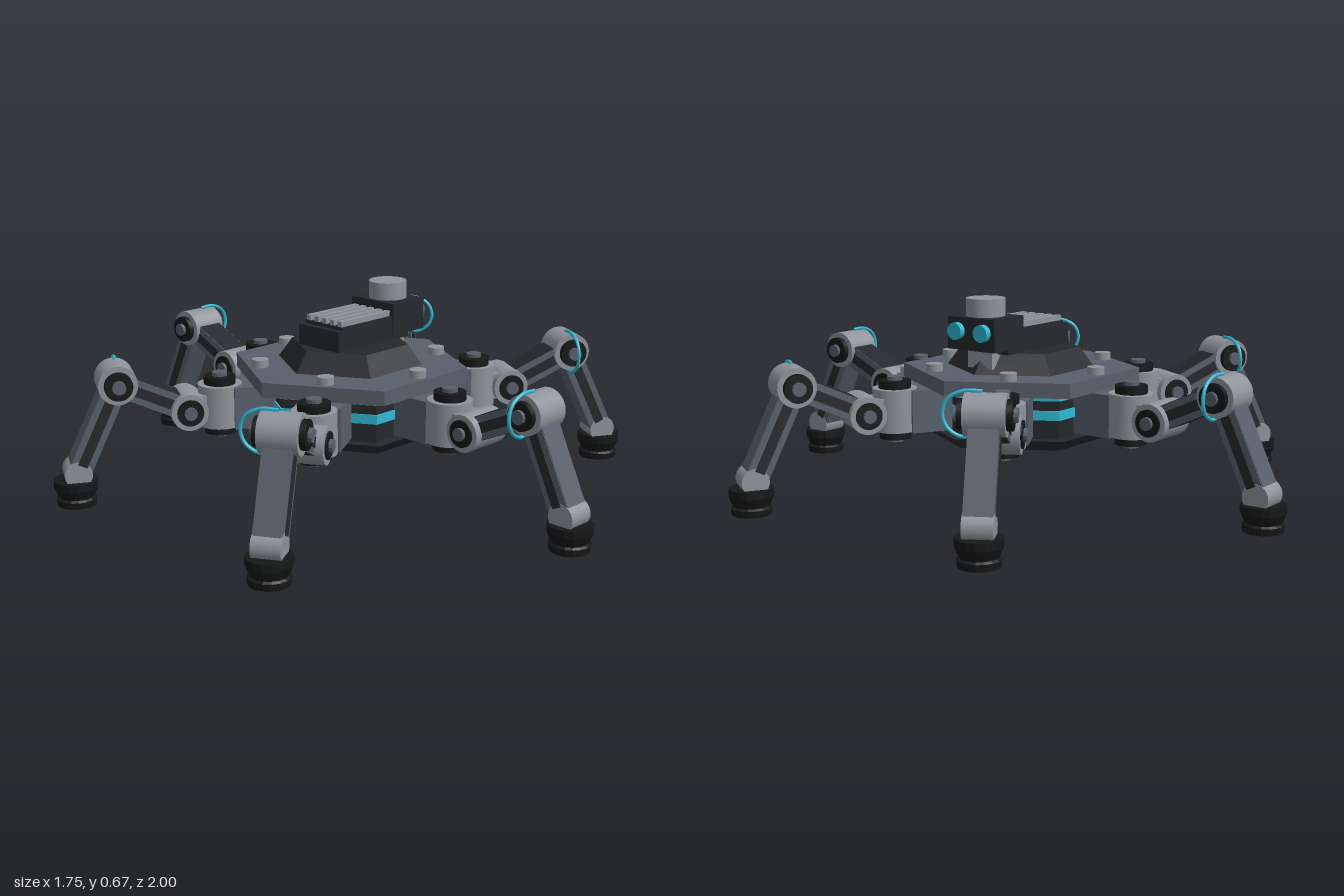
import * as THREE from 'three';

const mat = (color, flat = false) =>
  new THREE.MeshStandardMaterial({ color, flatShading: flat, side: THREE.FrontSide });
const SLATE = mat(0x59606b, true), GREY = mat(0x8f949b), DARK = mat(0x25282c, true);
const BLACK = mat(0x161718), CYAN = mat(0x2fb9d2);

function add(parent, name, geometry, material, x = 0, y = 0, z = 0) {
  const mesh = new THREE.Mesh(geometry, material);
  mesh.name = name;
  mesh.position.set(x, y, z);
  parent.add(mesh);
  return mesh;
}

const box = (w, h, d) => new THREE.BoxGeometry(w, h, d);
const cyl = (rTop, rBottom, h, n = 24) => new THREE.CylinderGeometry(rTop, rBottom, h, n);

// Hexagonal slab with corners on the x axis, between two heights
function hex(parent, name, rTop, rBottom, y0, y1, material) {
  const geometry = cyl(rTop, rBottom, y1 - y0, 6).rotateY(Math.PI / 6);
  return add(parent, name, geometry, material, 0, (y0 + y1) / 2, 0);
}

// Pivot drum with a dark cap and a bolt on both ends, along the y axis
function joint(name, radius, half, capHalf) {
  const g = new THREE.Group();
  g.name = name;
  add(g, 'drum', cyl(radius, radius, half * 2), GREY);
  add(g, 'caps', cyl(radius * 0.72, radius * 0.72, capHalf * 2 - 0.024), BLACK);
  add(g, 'bolts', cyl(radius * 0.35, radius * 0.35, capHalf * 2, 12), SLATE);
  return g;
}

// Limb segment between two points in the y-z plane; its length runs along local z
function limb(name, from, to, width, height, bodyMaterial) {
  const g = new THREE.Group();
  g.name = name;
  const a = new THREE.Vector3(0, ...from), b = new THREE.Vector3(0, ...to);
  const length = a.distanceTo(b);
  g.position.copy(a).add(b).multiplyScalar(0.5);
  g.rotation.x = -Math.atan2(b.y - a.y, b.z - a.z);
  add(g, 'beam', box(width, height, length), bodyMaterial);
  for (const s of [-1, 1]) {
    add(g, 'sidePlate', box(0.006, height * 0.96, length), SLATE, s * width / 2, 0, 0);
    add(g, 'sideInset', box(0.008, height * 0.42, length * 0.8), DARK, s * (width / 2 + 0.002), 0, 0);
  }
  return g;
}

// One leg reaching out along +z
function makeLeg() {
  const leg = new THREE.Group();
  leg.name = 'leg';
  const hip = [0.3, 0.557], knee = [0.405, 0.785], ankle = [0.11, 0.922];

  add(leg, 'mount', box(0.15, 0.14, 0.15), SLATE, 0, 0.302, 0.335);

  const coxa = joint('coxaJoint', 0.073, 0.07, 0.108);
  coxa.position.set(0, 0.304, 0.445);
  leg.add(coxa);
  add(leg, 'coxaLink', box(0.1, 0.09, 0.1), GREY, 0, 0.302, 0.505);

  for (const [name, p, r, half] of [['hipJoint', hip, 0.061, 0.075], ['kneeJoint', knee, 0.064, 0.062]]) {
    const j = joint(name, r, half, 0.093);
    j.rotation.z = Math.PI / 2;
    j.position.set(0, ...p);
    leg.add(j);
  }

  leg.add(limb('femur', hip, knee, 0.09, 0.078, DARK));
  leg.add(limb('tibia', knee, ankle, 0.084, 0.076, SLATE));

  // Ankle and rubber foot
  add(leg, 'ankle', cyl(0.045, 0.045, 0.092).rotateZ(Math.PI / 2), GREY, 0, ...ankle);
  const foot = [[0, 0], [0.064, 0], [0.066, 0.022], [0.058, 0.028], [0.072, 0.06], [0.072, 0.085], [0, 0.085]];
  const footGeometry = new THREE.LatheGeometry(foot.map(p => new THREE.Vector2(...p)), 16);
  add(leg, 'foot', footGeometry, mat(0x161718, true), 0, 0, 0.928);

  // Cable looping round one side of the knee
  const points = [[-0.01, 0.472], [-0.065, 0.472], [-0.112, 0.448], [-0.128, 0.405],
    [-0.112, 0.362], [-0.07, 0.338], [-0.03, 0.345]];
  const path = new THREE.CatmullRomCurve3(points.map(([x, y]) => new THREE.Vector3(x, y, 0.782)));
  add(leg, 'kneeCable', new THREE.TubeGeometry(path, 32, 0.006, 8), CYAN);
  return leg;
}

export function createModel() {
  const robot = new THREE.Group();
  robot.name = 'hexapodRobot';

  // Body shell
  const body = new THREE.Group();
  body.name = 'body';
  robot.add(body);
  hex(body, 'bellyPlate', 0.355, 0.32, 0.19, 0.225, DARK);
  hex(body, 'core', 0.315, 0.315, 0.22, 0.38, DARK);
  hex(body, 'lowerLightBand', 0.321, 0.321, 0.287, 0.318, CYAN).material = mat(0x2fb9d2, true);
  hex(body, 'upperLightBand', 0.321, 0.321, 0.35, 0.364, CYAN).material = mat(0x2fb9d2, true);
  hex(body, 'deck', 0.4, 0.4, 0.372, 0.42, SLATE);
  hex(body, 'cabin', 0.2, 0.248, 0.42, 0.486, DARK);

  // Engine hood with cooling fins
  add(body, 'hood', box(0.335, 0.07, 0.185), DARK, 0.022, 0.52, 0);
  add(body, 'ventBase', box(0.235, 0.012, 0.17), DARK, -0.005, 0.56, 0);
  for (let i = -2; i <= 2; i++) {
    add(body, 'ventFin', box(0.23, 0.032, 0.018), GREY, -0.005, 0.568, i * 0.036);
  }

  // Head facing +x
  const head = new THREE.Group();
  head.name = 'head';
  robot.add(head);
  add(head, 'neck', box(0.115, 0.07, 0.1), GREY, 0.16, 0.472, 0);
  add(head, 'headBox', box(0.153, 0.107, 0.192), DARK, 0.188, 0.554, 0);
  add(head, 'sensorDrum', cyl(0.064, 0.064, 0.06, 32), GREY, 0.187, 0.636, 0);
  for (const s of [-1, 1]) {
    add(head, 'eye', cyl(0.028, 0.028, 0.03).rotateZ(Math.PI / 2), CYAN, 0.271, 0.562, s * 0.053);
  }

  // Six legs, each with a deck bolt above its mount
  for (let i = 0; i < 6; i++) {
    const leg = makeLeg();
    add(leg, 'deckBolt', cyl(0.028, 0.028, 0.03, 12), GREY, 0, 0.43, 0.307);
    leg.rotation.y = i * Math.PI / 3;
    robot.add(leg);
  }
  return robot;
}
